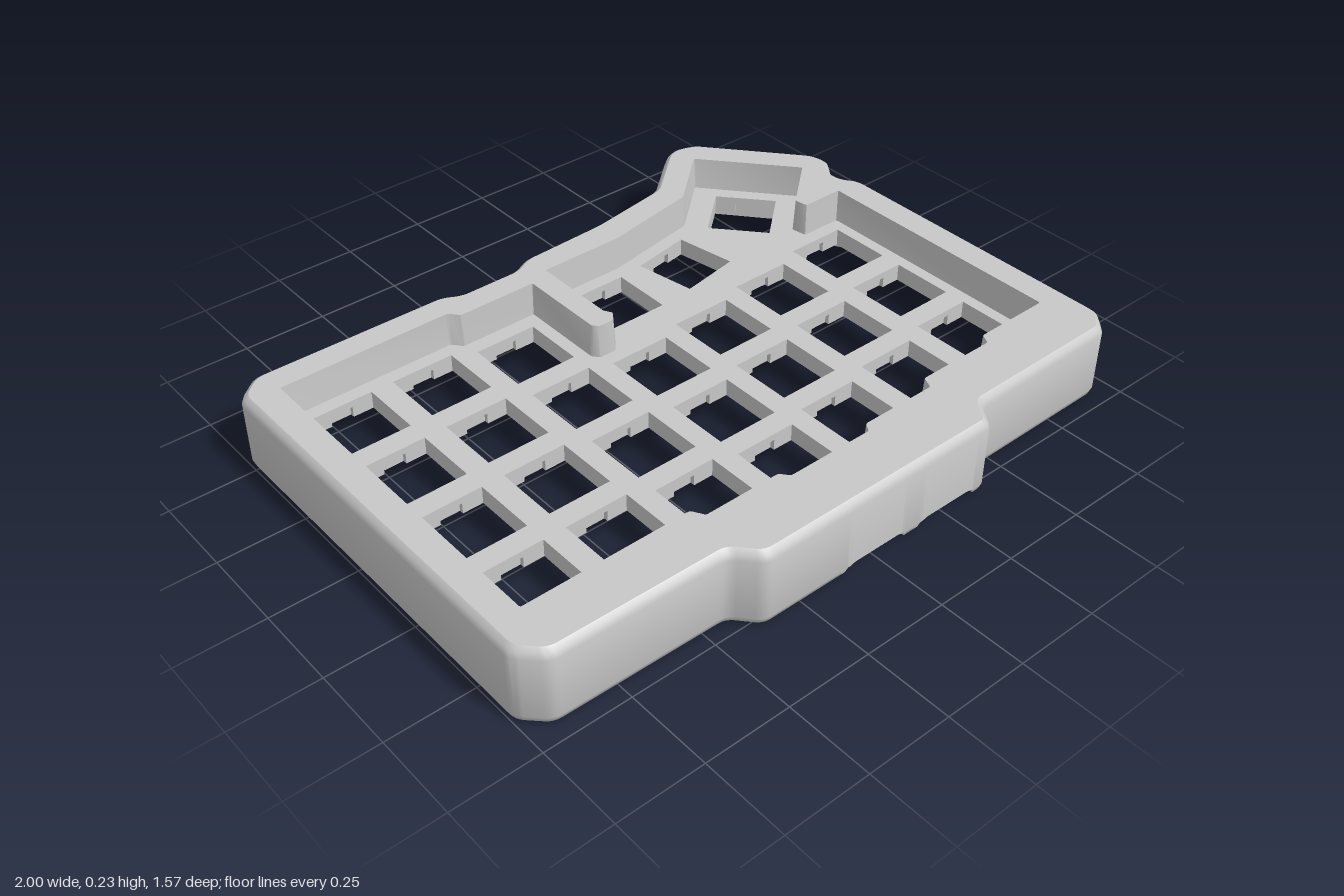
import * as THREE from 'three';
import { toCreasedNormals } from 'three/addons/utils/BufferGeometryUtils.js';

// Case outline as [x, z, lift]; lift raises the bottom edge for the front cutouts
const OUTER = [
  [-1, -0.525], [-0.93, -0.583], [-0.35, -0.577], [-0.3, -0.55], [-0.115, -0.55], [-0.06, -0.58],
  [0.215, -0.592], [0.47, -0.633], [0.63, -0.77], [0.675, -0.788], [0.745, -0.766], [0.985, -0.48],
  [1.001, -0.42], [0.953, -0.36], [0.955, -0.315], [0.988, -0.27], [0.985, 0.645], [0.93, 0.708],
  [0.435, 0.714], [0.39, 0.782],
  [0.36, 0.782], [0.345, 0.782, 0.03], [0.165, 0.782, 0.03], [0.15, 0.782],
  [0.105, 0.782], [0.09, 0.782, 0.03], [-0.09, 0.782, 0.03], [-0.105, 0.782],
  [-0.375, 0.782], [-0.435, 0.714], [-0.935, 0.707], [-1, 0.642],
];

// Stepped recess around the keys, with a narrow tongue reaching in from the back
const WELL = [
  [-0.902, -0.487], [-0.385, -0.487], [-0.36, -0.457], [-0.12, -0.457], [-0.12, -0.19], [-0.105, -0.173],
  [-0.06, -0.173], [-0.038, -0.2], [-0.052, -0.225], [-0.052, -0.487], [0.205, -0.487], [0.505, -0.54],
  [0.68, -0.693], [0.9, -0.435], [0.748, -0.305], [0.755, -0.265], [0.887, -0.265], [0.887, 0.52],
  [0.65, 0.522], [0.635, 0.552], [0.39, 0.552], [0.375, 0.587], [0.14, 0.587], [0.125, 0.612],
  [-0.14, 0.612], [-0.16, 0.587], [-0.39, 0.587], [-0.41, 0.552], [-0.902, 0.552],
];

// Key columns: x, z of the first key, number of keys
const PITCH = 0.253;
const COLUMNS = [
  [-0.763, -0.346, 4], [-0.508, -0.346, 4], [-0.257, -0.311, 4], [-0.007, -0.031, 3],
  [0.243, -0.061, 3], [0.497, -0.091, 3], [0.752, -0.123, 3],
];
// Thumb keys: x, z, turn in degrees
const THUMBS = [[0.088, -0.346, 0], [0.371, -0.373, 10], [0.685, -0.47, -49]];

const PLATE_TOP = 0.13, PLATE_MID = 0.11, PLATE_BOTTOM = 0.077, TOP = 0.23;

// Move every edge of a loop inwards by d
function inset(pts, d) {
  const n = pts.length;
  const normal = (a, b) => {
    const l = Math.hypot(b[0] - a[0], b[1] - a[1]);
    return [-(b[1] - a[1]) / l, (b[0] - a[0]) / l];
  };
  return pts.map((p, i) => {
    const u = normal(pts[(i + n - 1) % n], p), v = normal(p, pts[(i + 1) % n]);
    const k = d / (1 + u[0] * v[0] + u[1] * v[1]);
    return [p[0] + (u[0] + v[0]) * k, p[1] + (u[1] + v[1]) * k, p[2] || 0];
  });
}

// Replace each corner by a short curve
function rounded(pts, radius, steps = 4) {
  const n = pts.length, out = [];
  const vec = (p) => new THREE.Vector3(p[0], p[1], p[2] || 0);
  pts.forEach((q, i) => {
    const p = vec(q);
    const toward = (r) => {
      const o = vec(r), len = o.distanceTo(p);
      return p.clone().lerp(o, Math.min(radius, len * 0.4) / len);
    };
    const c = new THREE.QuadraticBezierCurve3(toward(pts[(i + n - 1) % n]), p, toward(pts[(i + 1) % n]));
    c.getPoints(steps).forEach((v) => out.push(v.toArray()));
  });
  return out;
}

// Skin a list of [loop, height] rings
function skin(rings) {
  const pos = [];
  const put = (ring, i) => {
    const p = ring[0][i % ring[0].length];
    pos.push(p[0], Math.max(ring[1], p[2]), p[1]);
  };
  for (let k = 0; k < rings.length - 1; k++) {
    const A = rings[k], B = rings[k + 1];
    for (let i = 0; i < A[0].length; i++) {
      put(A, i); put(B, i); put(B, i + 1);
      put(A, i); put(B, i + 1); put(A, i + 1);
    }
  }
  const g = new THREE.BufferGeometry();
  g.setAttribute('position', new THREE.Float32BufferAttribute(pos, 3));
  return toCreasedNormals(g, 0.7);
}

const toVectors = (pts) => pts.map((p) => new THREE.Vector2(p[0], -p[1]));

// Square key opening, optionally with clip notches front and back
function keyHole([x, z, turn], notched) {
  const h = 0.094, w = 0.033, e = h + 0.013;
  const pts = notched
    ? [[-h, -h], [-w, -h], [-w, -e], [w, -e], [w, -h], [h, -h], [h, h], [w, h], [w, e], [-w, e], [-w, h], [-h, h]]
    : [[-h, -h], [h, -h], [h, h], [-h, h]];
  const a = THREE.MathUtils.degToRad(turn), c = Math.cos(a), s = Math.sin(a);
  return new THREE.Path(pts.map(([u, v]) => new THREE.Vector2(x + u * c - v * s, -z + u * s + v * c)));
}

export function createModel() {
  const model = new THREE.Group();
  model.name = 'keyboardCase';
  const grey = new THREE.MeshStandardMaterial({ color: 0xc8c8c8 });
  grey.name = 'caseGrey';
  const add = (name, geometry) => {
    const m = new THREE.Mesh(geometry, grey);
    m.name = name;
    model.add(m);
    return m;
  };

  const ring = (d) => rounded(inset(OUTER, d), 0.022);
  const cavity = ring(0.036), rim = ring(0.018), edge = ring(0.006), side = ring(0);
  const well = rounded(WELL, 0.005, 2), wellFoot = rounded(inset(WELL, 0.005), 0.005, 2);

  // Outer shell: cavity wall, bottom rim, sides with softened edges
  add('shell', skin([
    [cavity, PLATE_BOTTOM + 0.005], [cavity, 0], [rim, 0],
    [edge, 0.008], [side, 0.025], [side, 0.203], [edge, 0.22], [rim, TOP],
  ]));

  // Flat top border and the slightly drafted wall dropping to the plate
  const border = new THREE.Shape(toVectors(rim));
  border.holes.push(new THREE.Path(toVectors(well)));
  add('topBorder', new THREE.ShapeGeometry(border).rotateX(-Math.PI / 2).translate(0, TOP, 0));
  add('wellWall', skin([[well, TOP], [wellFoot, PLATE_TOP]]));

  // Key plate in two layers; the lower one holds the clip notches
  const keys = [...THUMBS];
  for (const [x, z, count] of COLUMNS) {
    for (let i = 0; i < count; i++) keys.push([x, z + i * PITCH, 0]);
  }
  const layer = (name, y0, y1, notched) => {
    const shape = new THREE.Shape(toVectors(cavity));
    keys.forEach((k) => shape.holes.push(keyHole(k, notched)));
    const g = new THREE.ExtrudeGeometry(shape, { depth: y1 - y0, bevelEnabled: false });
    add(name, g.rotateX(-Math.PI / 2).translate(0, y0, 0));
  };
  layer('keyPlate', PLATE_MID, PLATE_TOP, false);
  layer('clipLayer', PLATE_BOTTOM, PLATE_MID, true);

  // Small catches inside the front wall
  for (const x of [-0.81, 0.81]) {
    add('frontCatch', new THREE.BoxGeometry(0.1, 0.02, 0.02)).position.set(x, 0.025, 0.667);
  }
  return model;
}
